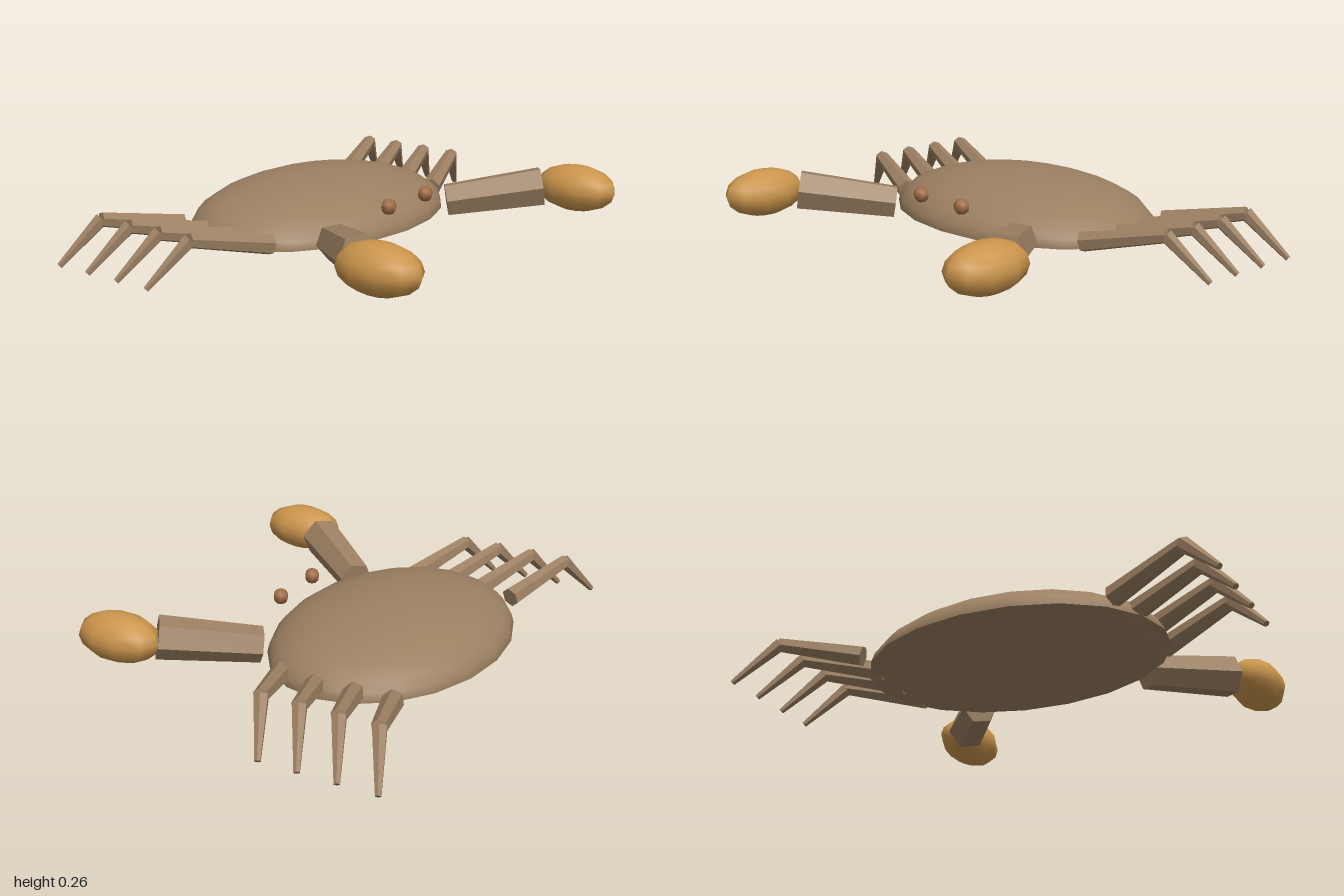
import * as THREE from 'three';

const shell = new THREE.MeshStandardMaterial({ color: 0x9c8062 });
shell.name = 'shellBrown';
const claw = new THREE.MeshStandardMaterial({ color: 0xcb954c });
claw.name = 'clawOrange';
const eye = new THREE.MeshStandardMaterial({ color: 0xa06c45 });
eye.name = 'eyeBrown';

function addMesh(parent, name, geometry, material) {
  const mesh = new THREE.Mesh(geometry, material);
  mesh.name = name;
  parent.add(mesh);
  return mesh;
}

// Six-sided tapered limb between two points, with faceted normals
function limb(parent, name, from, to, r0, r1) {
  const a = new THREE.Vector3(...from), b = new THREE.Vector3(...to);
  const dir = b.clone().sub(a);
  const smooth = new THREE.CylinderGeometry(r1, r0, dir.length(), 6);
  const geometry = smooth.toNonIndexed();
  geometry.computeVertexNormals();
  const mesh = addMesh(parent, name, geometry, shell);
  mesh.position.copy(a).add(b).multiplyScalar(0.5);
  mesh.quaternion.setFromUnitVectors(new THREE.Vector3(0, 1, 0), dir.normalize());
}

export function createModel() {
  const model = new THREE.Group();
  model.name = 'crab';

  // Domed shell with a flat belly
  const dome = addMesh(model, 'shell',
    new THREE.SphereGeometry(1, 20, 8, Math.PI / 2, Math.PI * 2, 0, Math.PI / 2), shell);
  dome.scale.set(0.61, 0.18, 0.44);
  dome.position.set(0, 0.08, -0.26);
  const belly = addMesh(model, 'belly', new THREE.CircleGeometry(1, 20), shell);
  belly.rotation.x = Math.PI / 2;
  belly.scale.set(0.61, 0.44, 1);
  belly.position.set(0, 0.08, -0.26);

  for (const s of [1, -1]) {
    const side = s > 0 ? 'left' : 'right';

    // Eye
    const ball = addMesh(model, side + 'Eye', new THREE.SphereGeometry(0.032, 6, 6, Math.PI / 2), eye);
    ball.position.set(s * 0.122, 0.203, 0.178);

    // Arm and claw
    limb(model, side + 'Arm', [s * 0.375, 0.113, 0.11], [s * 0.615, 0.17, 0.42], 0.07, 0.085);
    const pincer = addMesh(model, side + 'Claw', new THREE.SphereGeometry(1, 10, 8, Math.PI / 2), claw);
    pincer.scale.set(0.109, 0.095, 0.177);
    pincer.position.set(s * 0.68, 0.17, 0.547);

    // Four bent walking legs
    for (let i = 0; i < 4; i++) {
      const z = -0.53 + i * 0.153;
      const leg = new THREE.Group();
      leg.name = side + 'Leg' + (i + 1);
      limb(leg, 'upperLeg', [s * 0.525, 0.105, z], [s * 0.842, 0.176, z - 0.11], 0.041, 0.029);
      limb(leg, 'lowerLeg', [s * 0.838, 0.178, z - 0.11], [s * 0.99, 0.015, z - 0.187], 0.029, 0.012);
      model.add(leg);
    }
  }
  return model;
}
